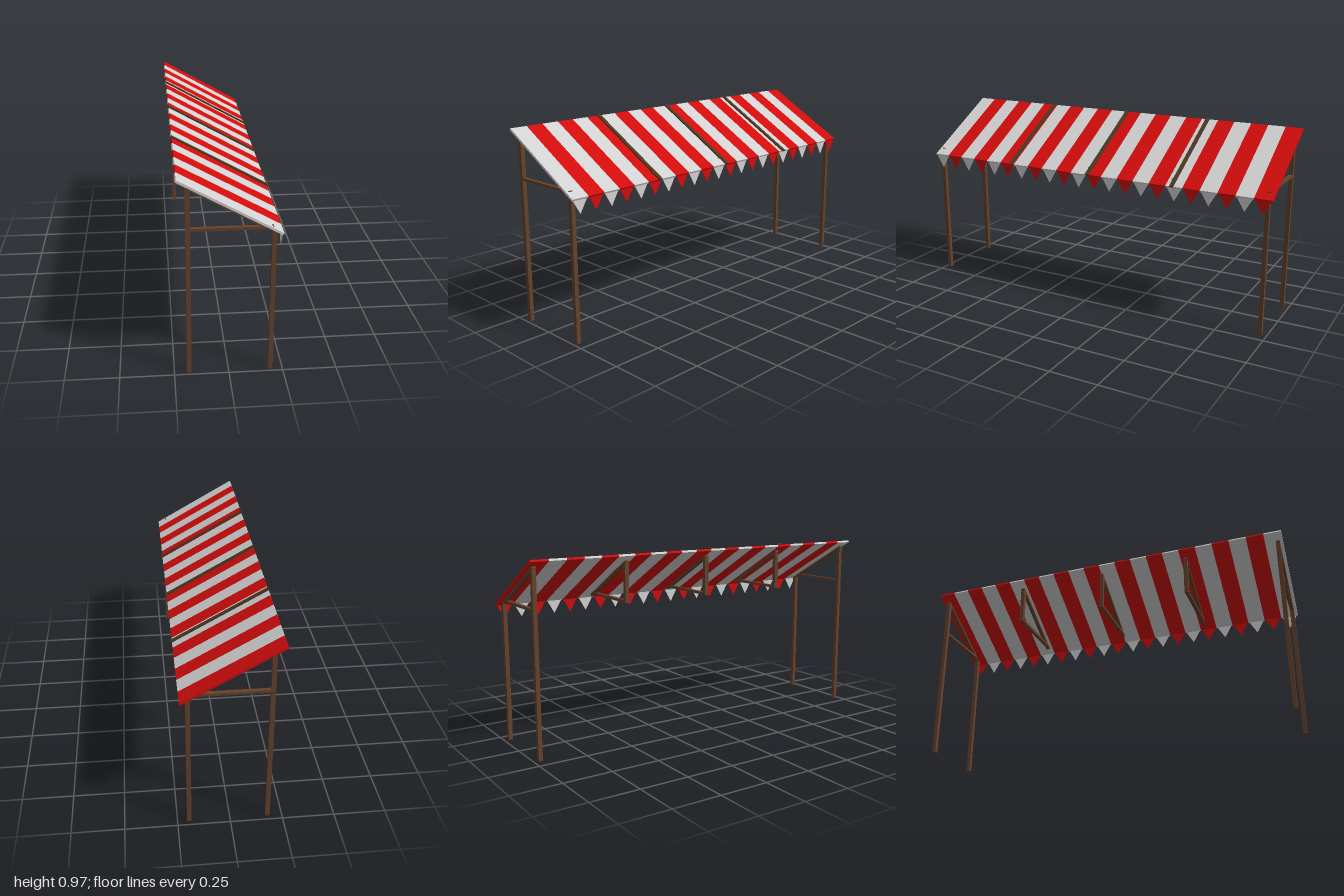
import * as THREE from 'three';

export function createModel() {
  const model = new THREE.Group();
  model.name = 'marketAwning';

  const mat = (name, color, side = THREE.FrontSide) => {
    const m = new THREE.MeshStandardMaterial({ color, side });
    m.name = name;
    return m;
  };
  const wood = mat('wood', 0x65422c);
  const darkWood = mat('darkWood', 0x4c3822);
  const cloth = [
    mat('paleCloth', 0xd2d2d2, THREE.DoubleSide),
    mat('redCloth', 0xd20c0c, THREE.DoubleSide),
  ];

  const box = (parent, name, material, size, pos) => {
    const mesh = new THREE.Mesh(new THREE.BoxGeometry(...size), material);
    mesh.name = name;
    mesh.position.set(...pos);
    parent.add(mesh);
    return mesh;
  };
  const post = (parent, name, x, z, y0, y1) =>
    box(parent, name, wood, [0.021, y1 - y0, 0.021], [x, (y0 + y1) / 2, z]);

  // Sloping roof, built flat and then tilted down towards +x
  const pitch = Math.atan(0.565);
  const roof = new THREE.Group();
  roof.name = 'roof';
  roof.position.y = 0.83;
  roof.rotation.z = -pitch;
  model.add(roof);

  // Striped cloth with one pennant hanging below each stripe
  const count = 22;
  const w = 2 / count;
  const triangle = new THREE.Shape([
    new THREE.Vector2(-w / 2, 0),
    new THREE.Vector2(0, -0.078),
    new THREE.Vector2(w / 2, 0),
  ]);
  const pennantGeometry = new THREE.ExtrudeGeometry(triangle, { depth: 0.003, bevelEnabled: false });
  for (let i = 0; i < count; i++) {
    const z = 1 - w * (i + 0.5);
    box(roof, 'clothStripe', cloth[i % 2], [0.528, 0.011, w], [0, 0, z]);
    const pennant = new THREE.Mesh(pennantGeometry, cloth[i % 2]);
    pennant.name = 'pennant';
    pennant.position.set(0.2245, 0.708, z);
    pennant.rotation.y = Math.PI / 2;
    model.add(pennant);
  }

  // Battens across the top of the cloth
  for (const z of [0.472, -0.008, -0.488]) {
    box(roof, 'batten', darkWood, [0.538, 0.007, 0.02], [0, 0.009, z]);
  }

  // Five triangular trusses; the end ones stand on full posts
  const trussZ = [0.975, 0.48, 0, -0.48, -0.967];
  trussZ.forEach((z, i) => {
    const isEnd = i === 0 || i === trussZ.length - 1;
    const truss = new THREE.Group();
    truss.name = 'truss';
    model.add(truss);
    post(truss, isEnd ? 'tallPost' : 'shortPost', -0.181, z, isEnd ? 0 : 0.719, 0.921);
    if (isEnd) post(truss, 'lowPost', 0.194, z, 0, 0.715);
    box(truss, 'tieBeam', wood, [0.37, 0.013, 0.02], [0.005, 0.726, z]);
    box(roof, 'rafter', wood, [0.43, 0.012, 0.02], [0, -0.0115, z]);
  });

  return model;
}
